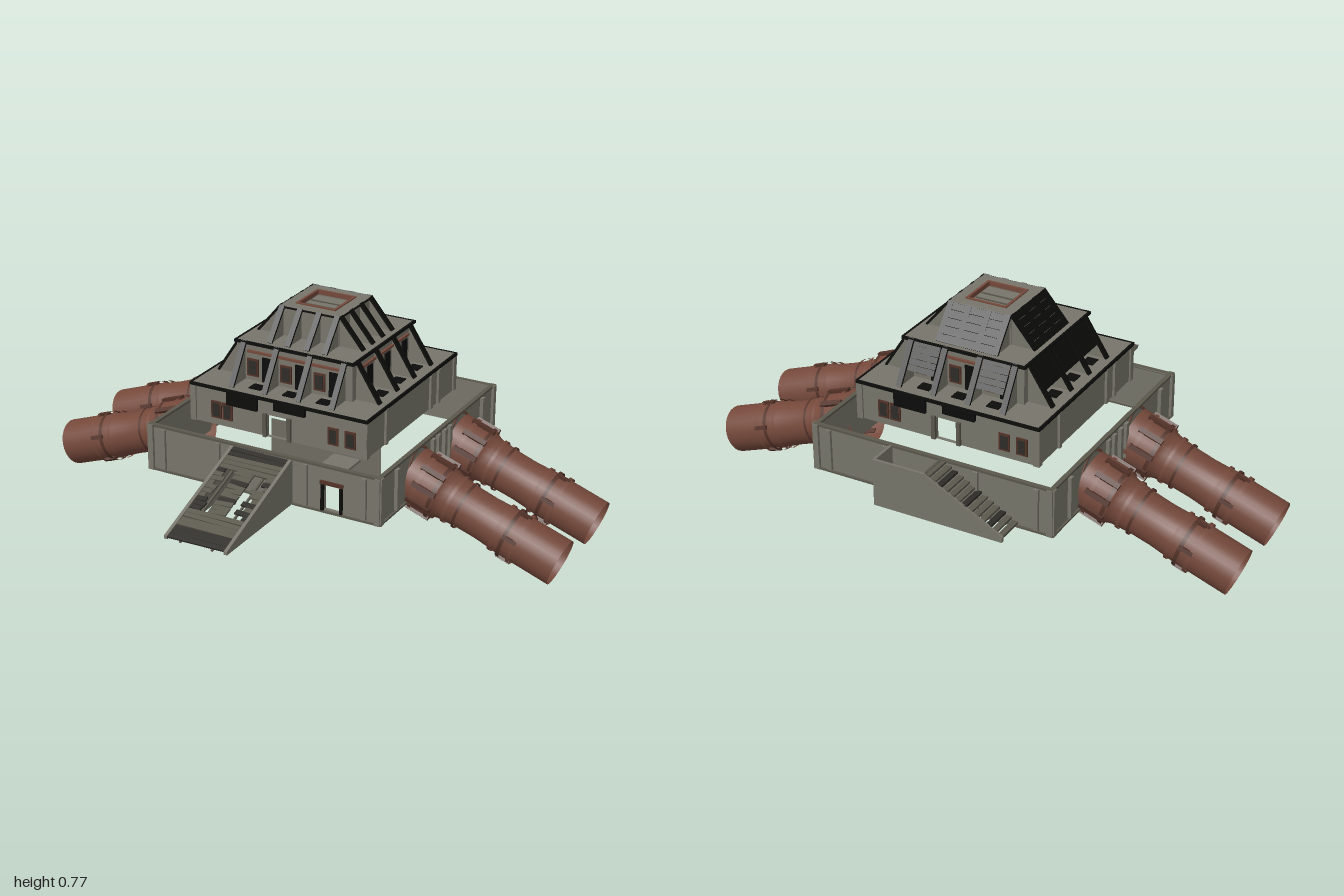
import * as THREE from 'three';

const mat = (name, color, side = THREE.FrontSide) => {
  const m = new THREE.MeshStandardMaterial({ color, side });
  m.name = name;
  return m;
};

export function createModel() {
  const D = THREE.DoubleSide;
  const stone = mat('stone grey', 0x77756a, D), plank = mat('weathered grey', 0x5a574c, D);
  const black = mat('black', 0x0c0c0b), rust = mat('rust brown', 0x74483a, D);
  const darkRust = mat('dark rust', 0x523228, D), pane = mat('dark pane', 0x2e2c28);
  const front = mat('panel grey', 0x6e6c61);
  const model = new THREE.Group();

  let seed = 7;
  const rnd = () => (seed = (seed * 16807) % 2147483647) / 2147483647;
  const add = (parent, name, geo, material, x = 0, y = 0, z = 0) => {
    const m = new THREE.Mesh(geo, material);
    m.name = name;
    m.position.set(x, y, z);
    parent.add(m);
    return m;
  };
  const box = (parent, name, material, w, h, d, x, y, z) =>
    add(parent, name, new THREE.BoxGeometry(w, h, d), material, x, y, z);
  const group = (parent, name, x = 0, y = 0, z = 0, ry = 0) => {
    const g = new THREE.Group();
    g.name = name;
    g.position.set(x, y, z);
    g.rotation.y = ry;
    parent.add(g);
    return g;
  };
  // Upright slab with rectangular holes [x0, y0, x1, y1]; outer face lies at local z = 0
  const rect = (C, x0, y0, x1, y1) => {
    const s = new C();
    s.moveTo(x0, y0); s.lineTo(x1, y0); s.lineTo(x1, y1); s.lineTo(x0, y1); s.closePath();
    return s;
  };
  const slab = (x0, y0, x1, y1, t, holes = []) => {
    const s = rect(THREE.Shape, x0, y0, x1, y1);
    holes.forEach(h => s.holes.push(rect(THREE.Path, ...h)));
    return new THREE.ExtrudeGeometry(s, { depth: t, bevelEnabled: false }).translate(0, 0, -t);
  };
  // Flat square ring with its upper face at y
  const ring = (parent, name, material, outer, inner, t, y) =>
    add(parent, name, slab(-outer, -outer, outer, outer, t, [[-inner, -inner, inner, inner]]).rotateX(-Math.PI / 2), material, 0, y, 0);
  // Framed window or door plate on a wall facing +z
  const opening = (parent, name, x, y, w, h, z) => {
    box(parent, name + 'Frame', darkRust, w + 0.014, h + 0.014, 0.006, x, y, z + 0.002);
    box(parent, name, pane, w, h, 0.006, x, y, z + 0.004);
  };

  // ---- Base: open-topped ring of walls ----
  const CZ = -0.155, HB = 0.445, Y0 = 0.215, Y1 = 0.385;
  const base = group(model, 'base', 0, 0, CZ);
  for (let k = 0; k < 4; k++) {
    const side = group(base, ['frontWall', 'leftWall', 'backWall', 'rightWall'][k], 0, 0, 0, k * Math.PI / 2);
    const holes = k === 0 ? [[0.24, 0.225, 0.3, 0.315]] : [];
    add(side, 'wall', slab(-HB, Y0, HB, Y1, 0.012, holes), stone, 0, 0, HB);
    box(side, 'topRail', plank, 2 * HB + 0.012, 0.008, 0.016, 0, Y1 - 0.003, HB - 0.004);
    box(side, 'footRail', plank, 2 * HB + 0.016, 0.006, 0.02, 0, Y0 + 0.003, HB - 0.002);
    [-0.44, 0.44].forEach(x => box(side, 'cornerPost', stone, 0.02, Y1 - Y0, 0.02, x, 0.3, HB));
    if (k % 2) [-0.33, -0.06, -0.02, 0.03, 0.07, 0.34].forEach(x =>
      box(side, 'pilaster', stone, 0.018, 0.15, 0.018, x, 0.3, HB + 0.004));
    else [-0.39, -0.17, 0.17, 0.39].forEach(x =>
      box(side, 'pilaster', stone, 0.018, 0.15, 0.014, x, 0.3, HB + 0.003));
  }
  // Gate beside the ramp and its small roof
  box(base, 'gateLintel', darkRust, 0.085, 0.012, 0.012, 0.27, 0.325, HB + 0.003);
  [0.235, 0.305].forEach(x => box(base, 'gateJamb', black, 0.01, 0.095, 0.012, x, 0.27, HB + 0.003));
  box(base, 'gateRoof', stone, 0.1, 0.008, 0.095, 0.27, 0.379, 0.39);
  add(model, 'undersidePanel', new THREE.PlaneGeometry(0.445, 0.17), front, 0, 0.196, CZ);

  // ---- Stepped tower ----
  const tower = group(model, 'tower', 0, 0, CZ);
  const T1 = 0.525, T2 = 0.665, T3 = 0.773;
  // Sloping buttresses: grey triangular fin with a black beam on its edge
  const buttress = (parent, x, inner, outer, y0, y1) => {
    const s = new THREE.Shape();
    s.moveTo(inner, y0); s.lineTo(outer, y0); s.lineTo(inner, y1); s.closePath();
    const fin = new THREE.ExtrudeGeometry(s, { depth: 0.008, bevelEnabled: false }).translate(0, 0, -0.004);
    add(parent, 'fin', fin.rotateY(-Math.PI / 2), stone, x, 0, 0);
    const beam = box(parent, 'beam', black, 0.02, Math.hypot(outer - inner, y1 - y0), 0.008, x, (y0 + y1) / 2, (inner + outer) / 2);
    beam.rotation.x = -Math.atan2(outer - inner, y1 - y0);
  };
  // Slatted dark panel lying on the slope
  const shutter = (parent, x, w, inner, outer, y0, y1) => {
    const n = 5, a = -Math.atan2(outer - inner, y1 - y0), len = Math.hypot(outer - inner, y1 - y0);
    for (let i = 0; i < n; i++) {
      const f = (i + 0.5) / n;
      box(parent, 'shutterSlat', black, w, len / n * 0.94, 0.006, x, y0 + (y1 - y0) * f, outer + (inner - outer) * f).rotation.x = a;
    }
  };
  for (let k = 0; k < 4; k++) {
    const s = group(tower, ['towerFront', 'towerLeft', 'towerBack', 'towerRight'][k], 0, 0, 0, k * Math.PI / 2);
    const gated = k % 2 === 0, shuttered = k >= 2;

    // Lower tier
    const w1 = 0.338;
    add(s, 'lowerWall', slab(-w1, Y1, w1, T1, 0.012, gated ? [[-0.04, Y1 + 0.002, 0.04, 0.465]] : []), stone, 0, 0, w1);
    box(s, 'lowerRim', black, 2 * w1 + 0.012, 0.01, 0.008, 0, T1 - 0.004, w1 + 0.003);
    [-0.332, 0.332].forEach(x => box(s, 'cornerPost', stone, 0.022, T1 - Y1, 0.022, x, (Y1 + T1) / 2, w1 - 0.005));
    if (gated) {
      [-0.24, -0.195, 0.215, 0.28].forEach(x => opening(s, 'window', x, 0.442, 0.026, 0.048, w1));
      box(s, 'awning', black, 0.12, 0.05, 0.012, -0.135, 0.497, w1 + 0.006);
      box(s, 'awning', black, 0.12, 0.03, 0.012, 0.05, 0.505, w1 + 0.006);
      [-0.047, 0.047].forEach(x => box(s, 'doorJamb', plank, 0.014, 0.085, 0.02, x, 0.427, w1));
    } else {
      [-0.2, 0.14, 0.2].forEach(x => box(s, 'pilaster', stone, 0.016, 0.13, 0.012, x, 0.452, w1 + 0.003));
    }

    // Middle tier
    const w2 = 0.225;
    add(s, 'middleWall', slab(-w2, T1, w2, T2, 0.01), stone, 0, 0, w2);
    box(s, 'middleRim', black, 2 * w2 + 0.012, 0.01, 0.008, 0, T2 - 0.004, w2 + 0.003);
    box(s, 'lintel', rust, 0.36, 0.008, 0.01, 0, 0.632, w2 + 0.004);
    [-0.195, -0.065, 0.065, 0.195].forEach(x => buttress(s, x, w2, 0.315, T1, T2));
    [-0.13, 0, 0.13].forEach((x, i) => {
      opening(s, 'bayWindow', x - 0.03, 0.573, 0.03, 0.05, w2);
      box(s, 'bayDoor', black, 0.035, 0.09, 0.006, x + 0.025, 0.572, w2 + 0.002);
      box(s, 'floorHatch', black, 0.045, 0.004, 0.04, x + 0.015, T1 + 0.002, 0.275);
      if (k === 3 || (k === 2 && i !== 1)) shutter(s, x, 0.1, w2, 0.283, 0.575, T2);
    });

    // Upper tier
    const w3 = 0.115;
    add(s, 'upperWall', slab(-w3, T2, w3, T3, 0.01), stone, 0, 0, w3);
    box(s, 'upperRim', black, 2 * w3, 0.006, 0.006, 0, T3 - 0.004, w3 + 0.002);
    [-0.107, -0.037, 0.037, 0.107].forEach(x => buttress(s, x, w3, 0.205, T2, T3));
    if (shuttered) shutter(s, 0, 0.215, w3, 0.207, T2, T3);
  }
  ring(tower, 'lowerTerrace', stone, 0.338, 0.215, 0.008, T1);
  ring(tower, 'middleTerrace', stone, 0.228, 0.105, 0.008, T2);
  ring(tower, 'roof', stone, 0.117, 0.07, 0.01, T3);
  ring(tower, 'roofFrame', rust, 0.077, 0.068, 0.016, T3 + 0.004);
  box(tower, 'roofWell', stone, 0.15, 0.006, 0.15, 0, T3 - 0.022, 0);
  [-0.02, 0.02].forEach(z => box(tower, 'wellBar', plank, 0.14, 0.004, 0.004, 0, T3 - 0.017, z));

  // ---- Front ramp with broken planks ----
  const ramp = group(model, 'ramp');
  const RZ0 = 0.29, RZ1 = 0.71, slope = Math.atan2(0.15, RZ1 - RZ0);
  const cheek = new THREE.Shape();
  cheek.moveTo(RZ0, Y0); cheek.lineTo(RZ1, Y0); cheek.lineTo(RZ1, Y0 + 0.012); cheek.lineTo(RZ0, Y1 - 0.005);
  const cheekGeo = new THREE.ExtrudeGeometry(cheek, { depth: 0.012, bevelEnabled: false }).translate(0, 0, -0.006).rotateY(-Math.PI / 2);
  [-0.113, 0.113].forEach(x => add(ramp, 'rampCheek', cheekGeo, stone, x));
  const deck = group(ramp, 'rampDeck', 0, Y1 - 0.015, RZ0);
  deck.rotation.x = slope;
  const N = 22, len = 0.445;
  for (let i = 0; i < N; i++) {
    const z = (i + 0.5) * len / N, broken = i > 4 && i < 15;
    const spans = broken ? [[-0.107, -0.05 - 0.04 * rnd()], [-0.035, 0.03], [0.05 + 0.045 * rnd(), 0.107]] : [[-0.107, 0.107]];
    spans.forEach(([a, b]) => {
      const p = box(deck, 'rampPlank', rnd() < 0.25 ? pane : plank, b - a, 0.006, len / N * 0.93, (a + b) / 2, 0.004 * rnd(), z);
      p.rotation.y = (rnd() - 0.5) * (broken ? 0.2 : 0.05);
    });
  }
  [-0.06, 0.06].forEach(x => box(deck, 'rampStringer', plank, 0.007, 0.006, len, x, -0.006, len / 2));

  // ---- Rear landing and stairs ----
  const rear = group(model, 'rearStairs');
  const BZ = -0.71;
  const wallShape = new THREE.Shape();
  [[-0.325, Y0], [0.15, Y0], [0.15, Y1], [-0.04, Y1], [-0.325, Y0 + 0.02]].forEach(([x, y], i) =>
    i ? wallShape.lineTo(x, y) : wallShape.moveTo(x, y));
  add(rear, 'rearWall', new THREE.ExtrudeGeometry(wallShape, { depth: 0.01, bevelEnabled: false }), stone, 0, 0, BZ);
  box(rear, 'endWall', stone, 0.01, Y1 - Y0, 0.105, 0.147, 0.3, -0.655);
  box(rear, 'landingEdge', plank, 0.008, 0.012, 0.1, -0.04, Y1 - 0.006, -0.653);
  for (let i = 0; i < 13; i++) {
    const f = (i + 0.5) / 13;
    box(rear, 'stairTread', i % 4 === 2 ? pane : plank, 0.021, 0.008, 0.1, -0.04 - 0.285 * f, Y1 - 0.16 * f, -0.653);
  }

  // ---- Sloping pipes, two on each side ----
  const profile = [[0.1, -0.02], [0.1, 0.1], [0.092, 0.105], [0.084, 0.13], [0.078, 0.2], [0.077, 0.27],
    [0.08, 0.33], [0.083, 0.36], [0.083, 0.56]].map(([r, t]) => new THREE.Vector2(r, t));
  const pipeGeo = new THREE.LatheGeometry(profile, 28);
  for (const sx of [1, -1]) for (const z of [0.005, -0.32]) {
    const holder = group(model, sx > 0 ? 'leftPipe' : 'rightPipe', 0, 0, z, sx > 0 ? 0 : Math.PI);
    const inlet = add(holder, 'inletRing', new THREE.TorusGeometry(0.083, 0.007, 6, 28), rust, HB - 0.003, 0.297, 0);
    inlet.rotation.y = Math.PI / 2;
    const pipe = group(holder, 'pipe', HB, 0.272, 0);
    pipe.rotation.z = -Math.PI / 2 - 0.345;
    add(pipe, 'pipeBody', pipeGeo, rust);
    // Raised bands
    [[0.03, 0.105, 0.014], [0.095, 0.104, 0.014], [0.15, 0.088, 0.012], [0.19, 0.086, 0.01], [0.335, 0.087, 0.012],
      [0.37, 0.091, 0.014], [0.41, 0.091, 0.014]].forEach(([t, r, h], i) =>
      add(pipe, 'pipeBand', new THREE.CylinderGeometry(r, r, h, 28, 1, true), i % 2 ? darkRust : rust, 0, t, 0));
    // Clamps around the collar and the outer band
    for (let i = 0; i < 10; i++) {
      const a = i * Math.PI / 5, c = Math.cos(a), s = Math.sin(a);
      box(pipe, 'collarClamp', darkRust, 0.014, 0.09, 0.018, 0.103 * c, 0.06, 0.103 * s).rotation.y = -a;
      if (i % 2) box(pipe, 'bandClamp', darkRust, 0.01, 0.05, 0.014, 0.088 * c, 0.39, 0.088 * s).rotation.y = -a;
    }
  }
  return model;
}
